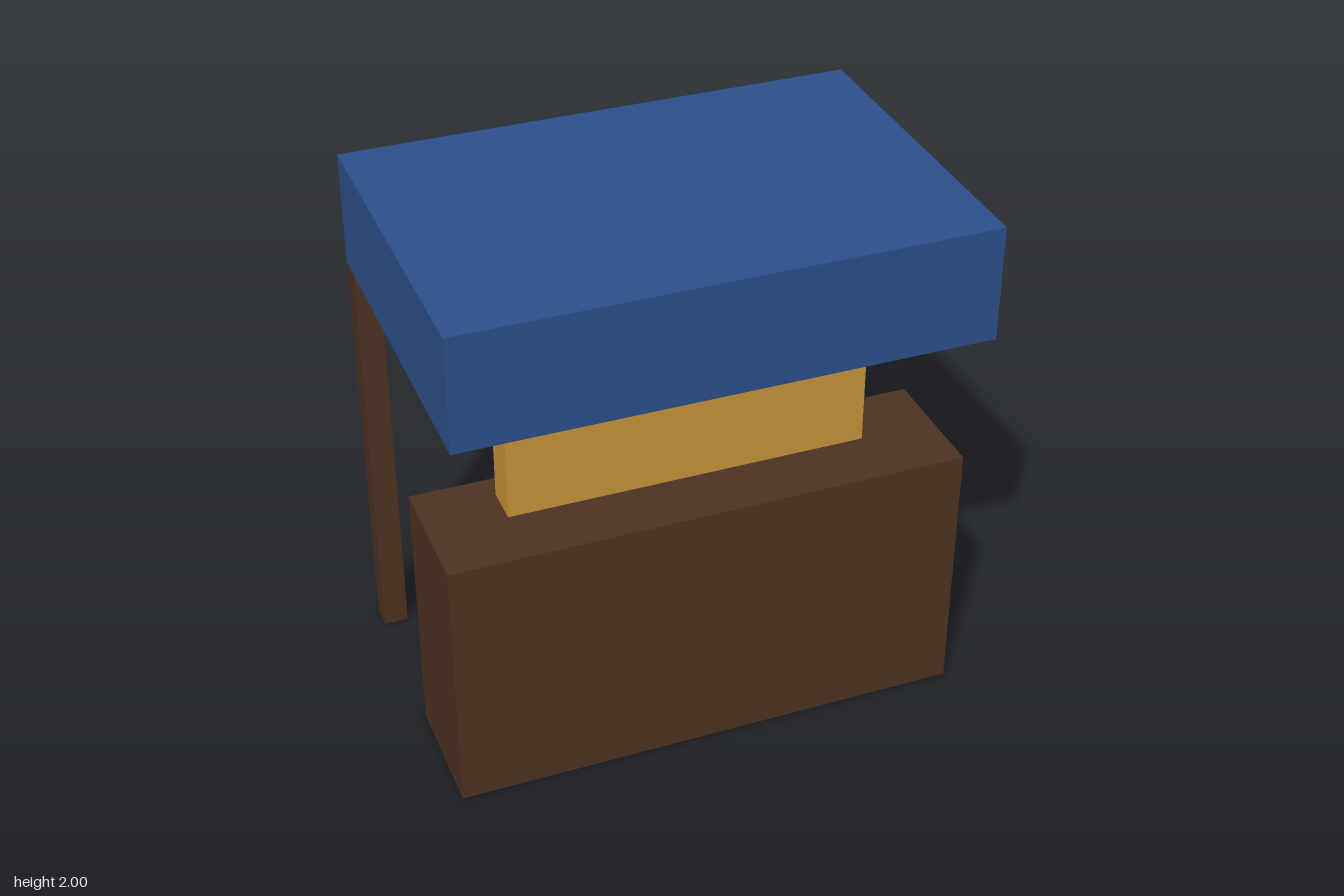
import * as THREE from 'three';

const brown = new THREE.MeshStandardMaterial({ color: 0x4d3322, side: THREE.DoubleSide });
brown.name = 'dark wood';
const ochre = new THREE.MeshStandardMaterial({ color: 0xc8943a, side: THREE.DoubleSide });
ochre.name = 'ochre';
const blue = new THREE.MeshStandardMaterial({ color: 0x2c508c });
blue.name = 'blue';

// Box given by its min and max corners; an open box has no bottom face.
function block(name, material, min, max, open = false) {
  const size = max.map((v, i) => v - min[i]);
  const geometry = new THREE.BoxGeometry(...size);
  if (open) {
    // The fourth face of a box (indices 18 to 23) is its bottom.
    const index = Array.from(geometry.index.array);
    index.splice(18, 6);
    geometry.setIndex(index);
    geometry.clearGroups();
  }
  const mesh = new THREE.Mesh(geometry, material);
  mesh.position.set(...max.map((v, i) => (v + min[i]) / 2));
  mesh.name = name;
  return mesh;
}

export function createModel() {
  const model = new THREE.Group();
  model.name = 'marketStall';

  // Counter and the panel standing on it
  model.add(block('counter', brown, [-0.95, 0, 0.025], [0.95, 1, 0.5], true));
  model.add(block('displayPanel', ochre, [-0.665, 1, 0.12], [0.665, 1.575, 0.263], true));

  // Rear posts
  for (const side of [-1, 1]) {
    const x = side * 0.905;
    model.add(block(side > 0 ? 'leftPost' : 'rightPost', brown,
      [x - 0.046, 0, -0.641], [x + 0.046, 1.575, -0.547], true));
  }

  // Canopy
  model.add(block('canopy', blue, [-0.951, 1.575, -0.641], [0.951, 2, 0.641]));
  return model;
}
